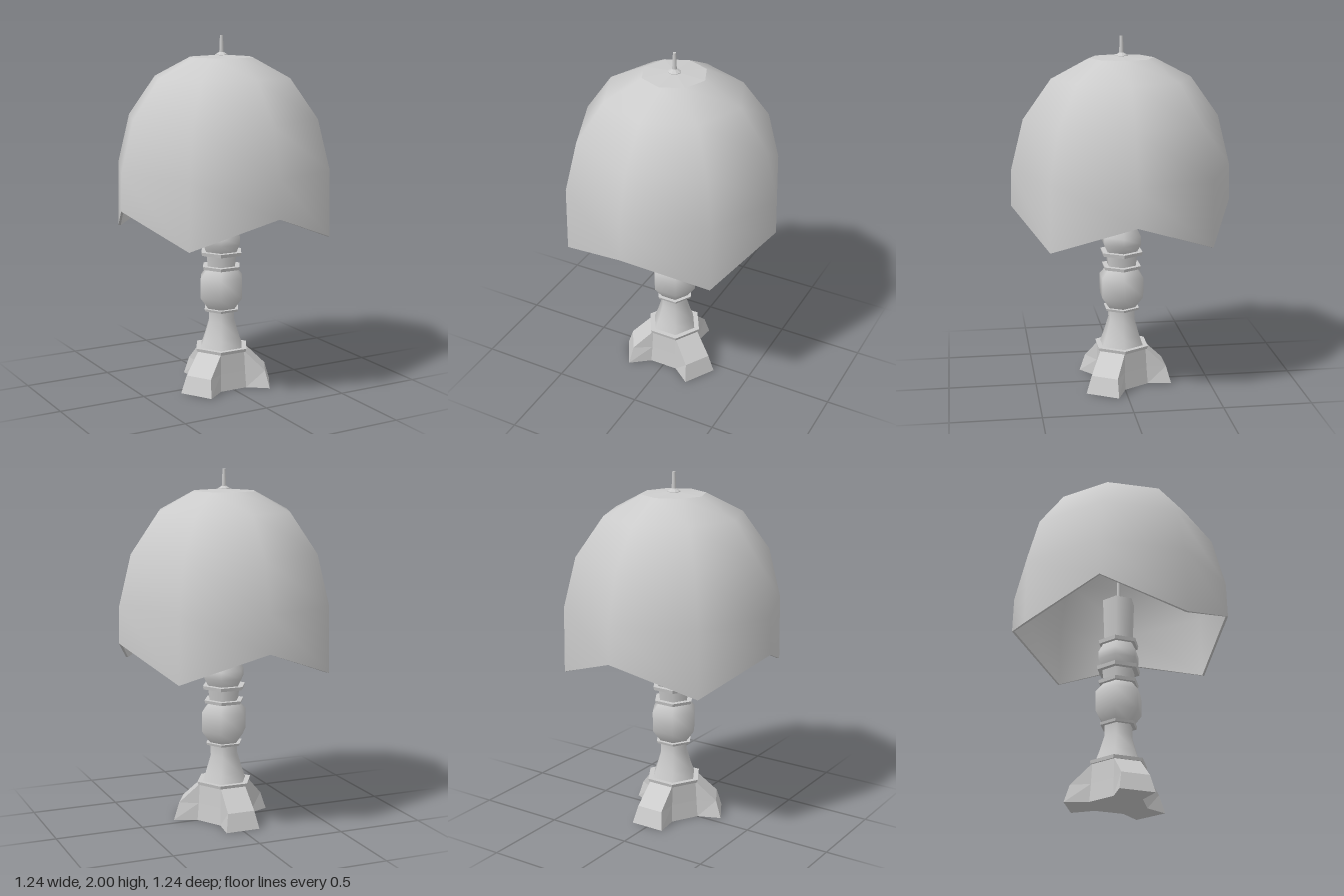
import * as THREE from 'three';

const smooth = new THREE.MeshStandardMaterial({ color: 0xcccccc });
const flat = new THREE.MeshStandardMaterial({ color: 0xcccccc, flatShading: true });

function lathe(name, points, sides, phiStart = 0, material = smooth) {
  const profile = points.map(([r, y]) => new THREE.Vector2(r, y));
  const mesh = new THREE.Mesh(new THREE.LatheGeometry(profile, sides, phiStart), material);
  mesh.name = name;
  return mesh;
}

// Hexagonal turned part with corners on the x axis
const hex = (name, points, material) => lathe(name, points, 6, Math.PI / 2, material);

// Three-footed base: outline rings of 12 points, feet on alternate hexagon sides
function makeBase() {
  const rings = [
    { y: 0, valley: 0.165, reach: 0.278, half: 0.1 },
    { y: 0.1, valley: 0.157, reach: 0.25, half: 0.08 },
    { y: 0.215, valley: 0.15, reach: 0.13, half: 0.075 },
  ];
  const pos = [];
  for (const { y, valley, reach, half } of rings) {
    for (let f = 0; f < 3; f++) {
      // angle from +x towards +z: 30, 150 and 270 degrees
      const a = Math.PI / 6 + (f * 2 * Math.PI) / 3;
      const c = Math.cos(a), s = Math.sin(a);
      const v1 = a - Math.PI / 6, v2 = a + Math.PI / 6;
      pos.push(valley * Math.cos(v1), y, valley * Math.sin(v1));
      pos.push(reach * c + half * s, y, reach * s - half * c);
      pos.push(reach * c - half * s, y, reach * s + half * c);
      pos.push(valley * Math.cos(v2), y, valley * Math.sin(v2));
    }
  }
  pos.push(0, 0, 0, 0, 0.215, 0);
  const index = [];
  for (let i = 0; i < 12; i++) {
    const j = (i + 1) % 12;
    for (let r = 0; r < 2; r++) {
      const a = r * 12 + i, b = r * 12 + j;
      index.push(a, a + 12, b, b, a + 12, b + 12);
    }
    index.push(36, i, j, 37, 24 + j, 24 + i);
  }
  const indexed = new THREE.BufferGeometry();
  indexed.setAttribute('position', new THREE.Float32BufferAttribute(pos, 3));
  indexed.setIndex(index);
  const geo = indexed.toNonIndexed();
  geo.computeVertexNormals();
  const mesh = new THREE.Mesh(geo, flat);
  mesh.name = 'base';
  return mesh;
}

// Pulls the diagonal corners of the shade rim down into points
function dipRim(mesh) {
  const p = mesh.geometry.attributes.position;
  for (let i = 0; i < p.count; i++) {
    const diagonal = Math.min(Math.abs(p.getX(i)), Math.abs(p.getZ(i))) > 0.1;
    if (diagonal && p.getY(i) < 1.1) p.setY(i, p.getY(i) - 0.165);
  }
  return mesh;
}

function makeShade() {
  const shade = new THREE.Group();
  shade.name = 'shade';
  const outer = [[0.622, 1.065], [0.617, 1.27], [0.547, 1.55], [0.39, 1.77], [0.18, 1.88]];
  const inner = [[0.17, 1.867], [0.381, 1.76], [0.536, 1.545], [0.604, 1.27], [0.608, 1.065]];
  shade.add(
    dipRim(lathe('shadeOuter', outer, 8)),
    dipRim(lathe('shadeInner', inner, 8)),
    dipRim(lathe('shadeRim', [inner[4], outer[0]], 8, 0, flat)),
    lathe('shadeCap', [[0.18, 1.88], [0, 1.893]], 8, 0, flat),
    lathe('shadeCapInner', [[0, 1.88], [0.17, 1.867]], 8, 0, flat),
  );
  return shade;
}

export function createModel() {
  const lamp = new THREE.Group();
  lamp.name = 'tableLamp';
  lamp.add(makeBase());

  // Turned column sections
  lamp.add(
    hex('lowerColumn', [[0.137, 0.22], [0.112, 0.285], [0.082, 0.38], [0.083, 0.445]]),
    hex('largeBulge', [[0.083, 0.45], [0.135, 0.52], [0.135, 0.635], [0.088, 0.69]]),
    hex('neck', [[0.088, 0.695], [0.097, 0.77]]),
    hex('smallBulge', [[0.095, 0.78], [0.12, 0.83], [0.12, 0.875], [0.09, 0.93]]),
    hex('post', [[0.085, 0.935], [0.095, 1.2]]),
    hex('postTop', [[0.095, 1.2], [0, 1.2]], flat),
  );

  // Collar rings: height of centre, radius, thickness
  const collars = [
    [0.22, 0.165, 0.018], [0.447, 0.11, 0.014], [0.693, 0.12, 0.018],
    [0.776, 0.13, 0.02], [0.934, 0.12, 0.02],
  ];
  for (const [y, r, t] of collars) {
    const ring = [[0, y - t / 2], [r - 0.005, y - t / 2], [r, y + t / 2], [0, y + t / 2]];
    lamp.add(hex('collar', ring, flat));
  }

  lamp.add(makeShade());

  // Rod holding the shade, and the finial above it
  lamp.add(
    lathe('shadeRod', [[0.01, 1.2], [0.01, 1.885]], 8),
    lathe('finialFoot', [[0.037, 1.885], [0.037, 1.893], [0.012, 1.908]], 8, 0, flat),
    lathe('finialStem', [[0.013, 1.905], [0.009, 2]], 8),
    lathe('finialTip', [[0.009, 2], [0, 2]], 8, 0, flat),
  );
  return lamp;
}
